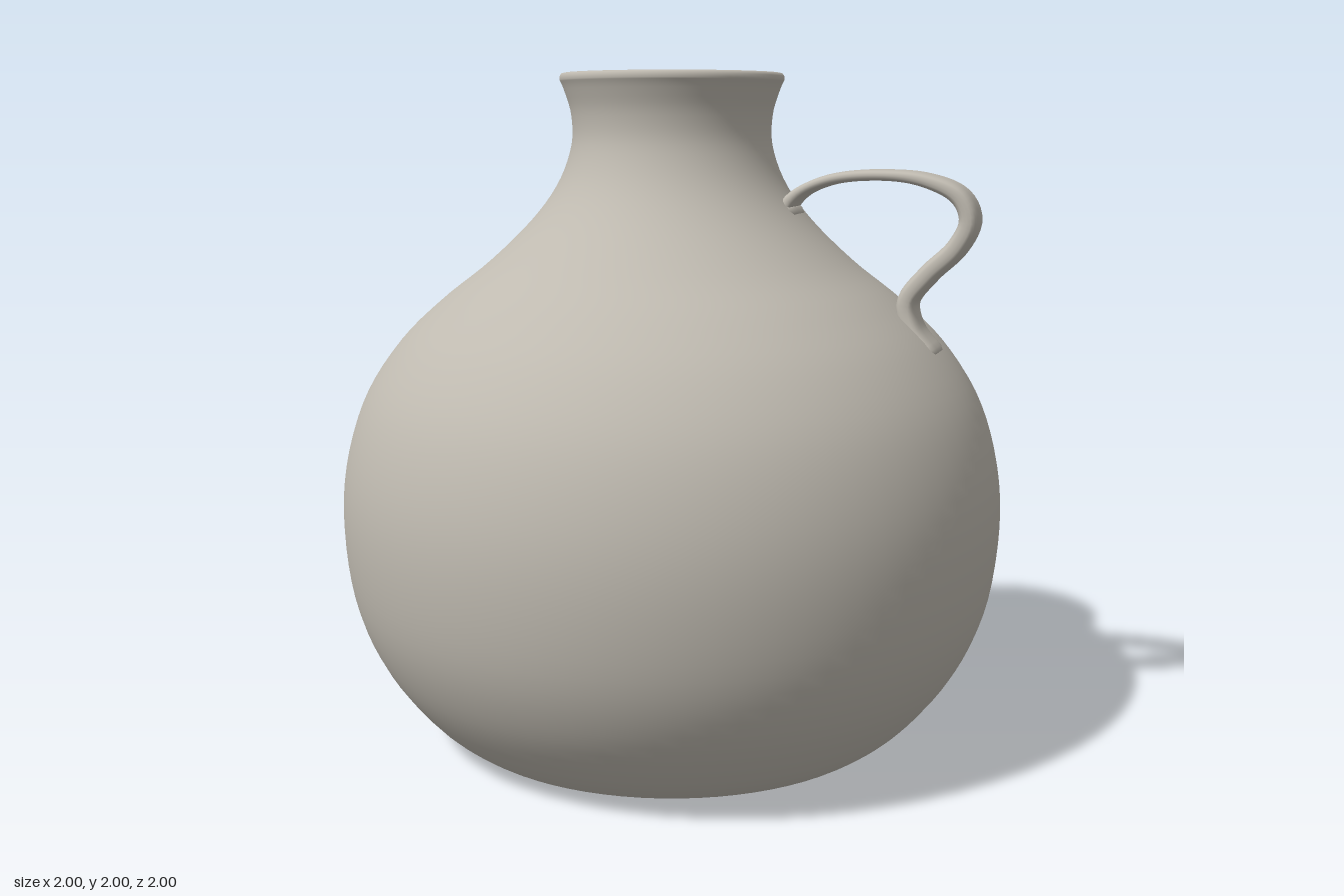
import * as THREE from 'three';

const v2 = (pts) => pts.map(([x, y]) => new THREE.Vector2(x, y));
const spline = (pts, n) => new THREE.SplineCurve(v2(pts)).getPoints(n);

// Sweep a rounded strap section along a path in the xy plane; size(u) = [half thickness, half width]
function sweepStrap(curve, steps, sides, size) {
  const pos = [], idx = [];
  const ring = (u, k) => {
    const c = curve.getPointAt(u), t = curve.getTangentAt(u);
    const [h, w] = size(u);
    for (let j = 0; j < sides; j++) {
      const a = (j / sides) * Math.PI * 2, ca = Math.cos(a), sa = Math.sin(a);
      const n = Math.sign(ca) * Math.abs(ca) ** 0.7 * h * k;
      const z = Math.sign(sa) * Math.abs(sa) ** 0.6 * w * k;
      pos.push(c.x - t.y * n, c.y + t.x * n, z);
    }
  };
  // zero-size rings close both ends
  ring(0, 0);
  ring(0, 0.75);
  for (let i = 0; i <= steps; i++) ring(0.012 + (i / steps) * 0.976, 1);
  ring(1, 0.85);
  ring(1, 0);
  for (let i = 0; i < steps + 4; i++) {
    for (let j = 0; j < sides; j++) {
      const a = i * sides + j, b = i * sides + ((j + 1) % sides);
      idx.push(a, b, a + sides, b, b + sides, a + sides);
    }
  }
  const g = new THREE.BufferGeometry();
  g.setAttribute('position', new THREE.Float32BufferAttribute(pos, 3));
  g.setIndex(idx);
  g.computeVertexNormals();
  return g;
}

export function createModel() {
  const group = new THREE.Group();
  group.name = 'jug';
  const clay = new THREE.MeshStandardMaterial({ color: 0xbfbab0 });
  clay.name = 'clay';

  // Recessed base and foot ring
  const base = v2([[0, 0.025], [0.53, 0.025], [0.545, 0.024], [0.565, 0.012], [0.585, 0.003], [0.605, 0]]);
  // Outer belly, shoulder and neck
  const outer = spline([
    [0.62, 0], [0.69, 0.025], [0.79, 0.11], [0.9, 0.26], [0.972, 0.44], [1, 0.66], [0.985, 0.86],
    [0.925, 1.05], [0.82, 1.21], [0.69, 1.335], [0.55, 1.445], [0.42, 1.57], [0.34, 1.68],
    [0.3, 1.79], [0.3, 1.88], [0.32, 1.95], [0.333, 1.98],
  ], 70);
  // Rounded lip
  const lip = v2([[0.333, 1.99], [0.328, 1.998], [0.32, 2], [0.308, 1.998], [0.298, 1.988]]);
  // Inner wall down to the flat floor
  const inner = spline([
    [0.288, 1.965], [0.262, 1.9], [0.25, 1.8], [0.29, 1.68], [0.38, 1.54], [0.52, 1.41], [0.66, 1.3],
    [0.79, 1.17], [0.885, 1.02], [0.94, 0.85], [0.95, 0.66], [0.925, 0.46], [0.855, 0.28], [0.75, 0.14], [0.64, 0.07],
  ], 50);
  const floor = v2([[0.6, 0.06], [0.58, 0.06], [0, 0.06]]);
  const body = new THREE.Mesh(new THREE.LatheGeometry([...base, ...outer, ...lip, ...inner, ...floor], 80), clay);
  body.name = 'body';
  group.add(body);

  // Strap handle from the neck, over the shoulder and back down
  const path = new THREE.CatmullRomCurve3([
    [0.392, 1.588], [0.368, 1.612], [0.4, 1.652], [0.49, 1.693], [0.63, 1.709], [0.77, 1.696],
    [0.87, 1.65], [0.898, 1.585], [0.865, 1.51], [0.785, 1.43], [0.728, 1.35], [0.745, 1.27], [0.805, 1.195],
  ].map(([x, y]) => new THREE.Vector3(x, y, 0)), false, 'centripetal');
  const size = (u) => [
    0.016 + 0.013 * THREE.MathUtils.smoothstep(u, 0.3, 0.6) + 0.007 * (1 - THREE.MathUtils.smoothstep(u, 0, 0.12)),
    0.062 + 0.013 * THREE.MathUtils.smoothstep(u, 0.85, 1),
  ];
  const handle = new THREE.Mesh(sweepStrap(path, 70, 24, size), clay);
  handle.name = 'handle';
  group.add(handle);

  return group;
}
